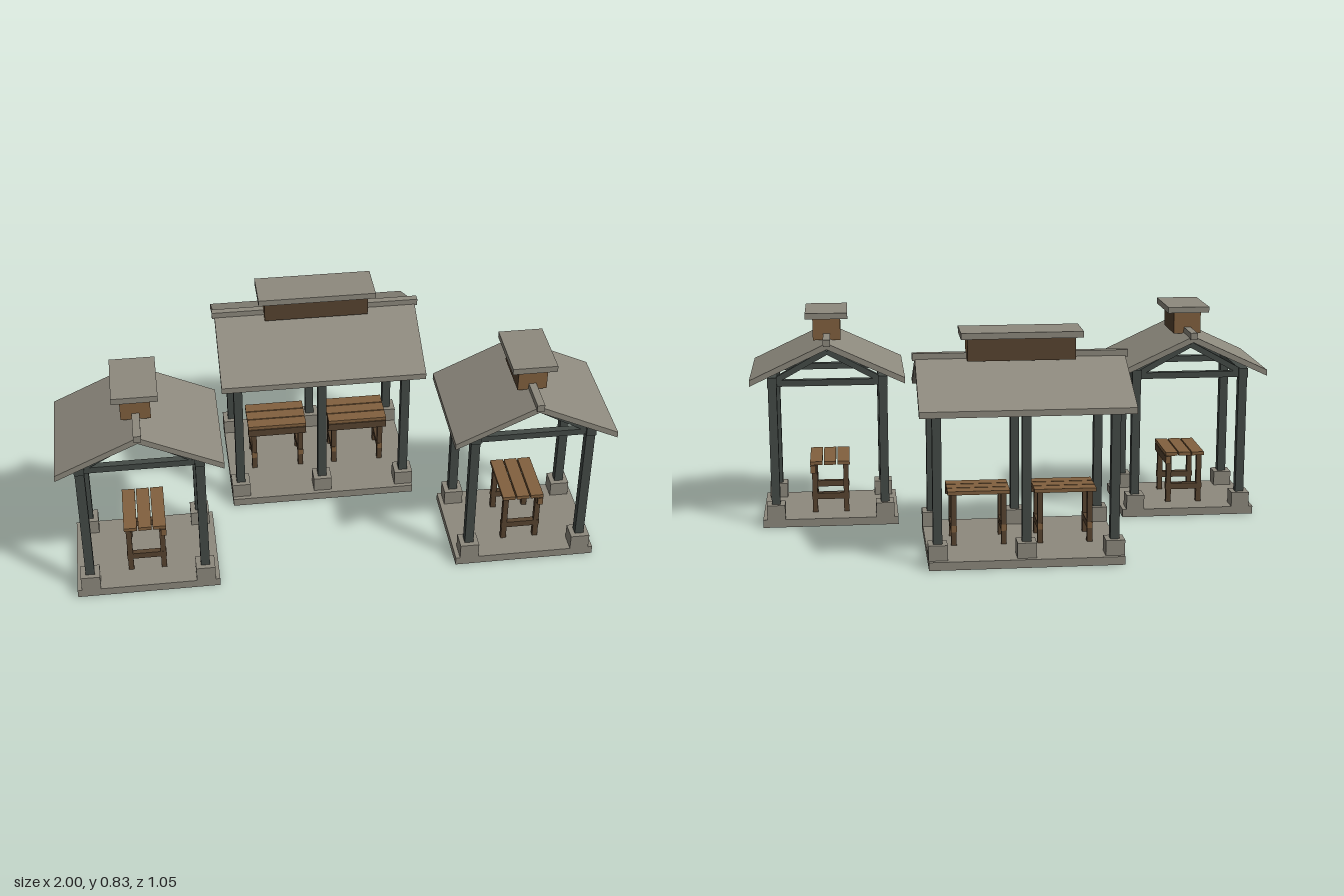
import * as THREE from 'three';

const mat = (name, color) => {
  const m = new THREE.MeshStandardMaterial({ color });
  m.name = name;
  return m;
};

export function createModel() {
  const stone = mat('stone', 0x8e8a7e);
  const steel = mat('dark steel', 0x444b47);
  const lightWood = mat('light wood', 0x82613f);
  const darkWood = mat('dark wood', 0x584430);

  // Box given by its centre x, z and its bottom and top heights
  const box = (parent, name, material, w, d, y0, y1, x = 0, z = 0) => {
    const mesh = new THREE.Mesh(new THREE.BoxGeometry(w, y1 - y0, d), material);
    mesh.name = name;
    mesh.position.set(x, (y0 + y1) / 2, z);
    parent.add(mesh);
    return mesh;
  };
  // Timbers are dark along the sides and light at the sawn ends
  const grainX = [lightWood, lightWood, darkWood, darkWood, darkWood, darkWood];
  const grainZ = [darkWood, darkWood, darkWood, darkWood, lightWood, lightWood];

  const makeTable = () => {
    const g = new THREE.Group();
    g.name = 'table';
    for (const i of [-1, 0, 1]) box(g, 'tablePlank', lightWood, 0.23, 0.048, 0.225, 0.239, 0, i * 0.053);
    box(g, 'tableApron', grainX, 0.23, 0.02, 0.192, 0.222, 0, 0.067);
    for (const x of [-0.0925, 0.0925]) {
      for (const z of [-0.061, 0.061]) box(g, 'tableLeg', darkWood, 0.02, 0.02, 0.03, 0.225, x, z);
      box(g, 'tableStretcher', grainZ, 0.021, 0.146, 0.083, 0.107, x);
    }
    return g;
  };

  // Gabled shelter with its ridge along x
  const makeShelter = (name, postXs, tableXs, size) => {
    const g = new THREE.Group();
    g.name = name;
    box(g, 'floorSlab', stone, size.slab, 0.524, 0, 0.031);

    // Posts on stone footings, with a roof truss over each pair
    for (const x of postXs) {
      for (const s of [-1, 1]) {
        box(g, 'footing', stone, 0.07, 0.07, 0.031, 0.088, x, s * 0.211);
        box(g, 'post', steel, 0.033, 0.033, 0.088, 0.56, x, s * 0.211);
        const rise = 0.117, run = 0.211;
        const rafter = new THREE.Mesh(new THREE.BoxGeometry(0.025, 0.022, Math.hypot(rise, run)), steel);
        rafter.name = 'rafter';
        rafter.position.set(x, 0.57 + rise / 2, s * run / 2);
        rafter.rotation.x = s * Math.atan2(rise, run);
        g.add(rafter);
      }
      box(g, 'tieBeam', steel, 0.026, 0.42, 0.554, 0.578, x);
    }
    for (const s of [-1, 1]) box(g, 'wallPlate', steel, size.plate, 0.036, 0.552, 0.59, 0, s * 0.211);

    // Roof as one extruded chevron
    const profile = new THREE.Shape([
      [-0.295, 0.567], [0, 0.704], [0.295, 0.567], [0.295, 0.59], [0, 0.728], [-0.295, 0.59],
    ].map(([x, y]) => new THREE.Vector2(x, y)));
    const roofGeo = new THREE.ExtrudeGeometry(profile, { depth: size.roof, bevelEnabled: false });
    roofGeo.translate(0, 0, -size.roof / 2);
    roofGeo.rotateY(Math.PI / 2);
    const roof = new THREE.Mesh(roofGeo, stone);
    roof.name = 'roof';
    g.add(roof);

    // Ridge cap and roof vent
    box(g, 'ridgeCap', stone, size.ridge, 0.027, 0.717, 0.743);
    box(g, 'roofVent', grainX, size.vent, 0.106, 0.718, 0.803);
    box(g, 'ventLid', stone, size.lid, 0.162, 0.803, 0.826);

    for (const x of tableXs) {
      const table = makeTable();
      table.position.x = x;
      g.add(table);
    }
    return g;
  };

  const model = new THREE.Group();
  model.name = 'picnicShelters';

  const main = makeShelter('mainShelter', [-0.321, 0, 0.321], [-0.16, 0.16],
    { slab: 0.71, plate: 0.69, roof: 0.77, ridge: 0.79, vent: 0.394, lid: 0.444 });
  main.position.z = -0.228;
  model.add(main);

  for (const s of [-1, 1]) {
    const side = makeShelter(s > 0 ? 'leftShelter' : 'rightShelter', [-0.16, 0.16], [0],
      { slab: 0.39, plate: 0.364, roof: 0.446, ridge: 0.468, vent: 0.196, lid: 0.244 });
    side.position.set(s * 0.705, 0, 0.291);
    side.rotation.y = Math.PI / 2;
    model.add(side);
  }
  return model;
}
